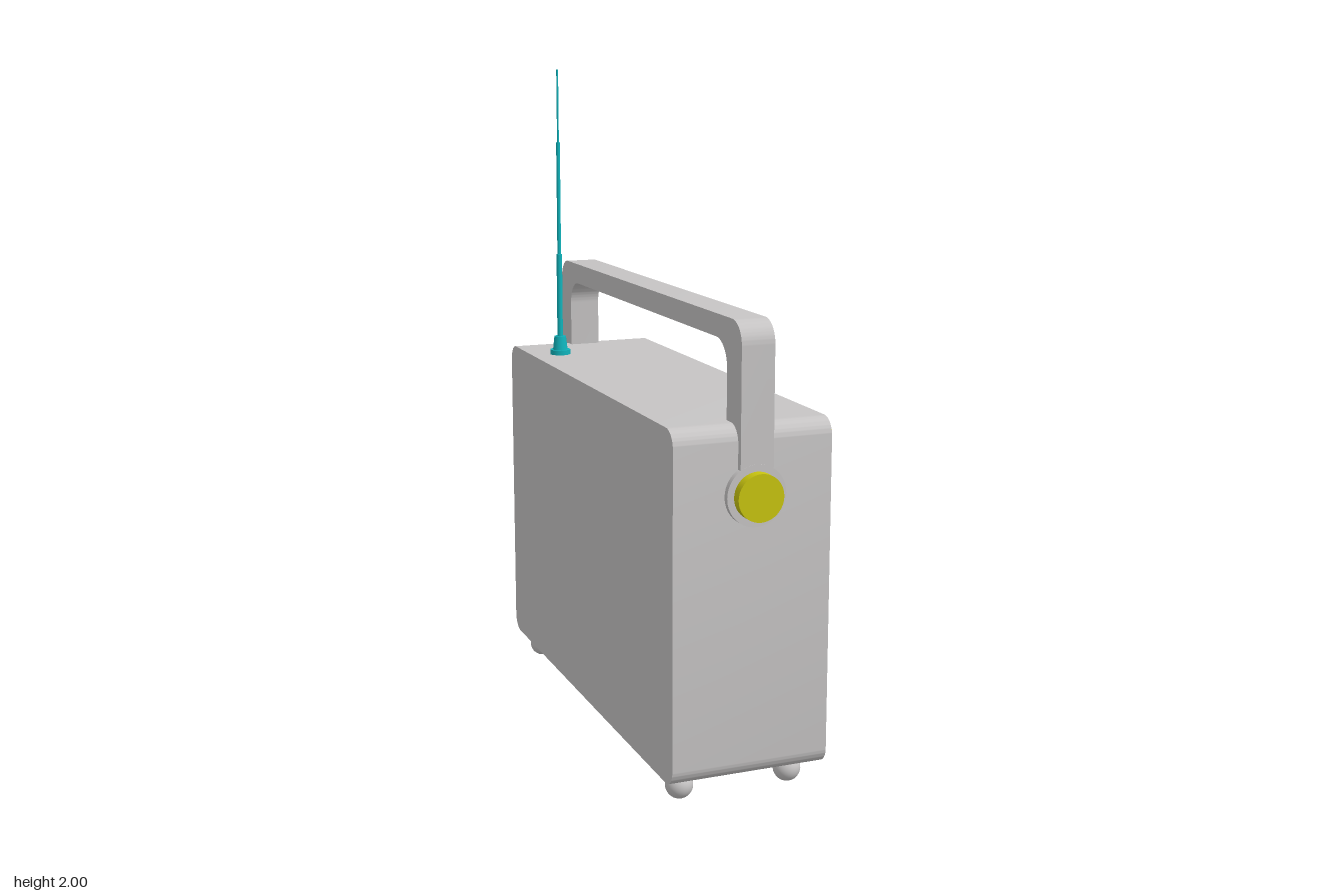
import * as THREE from 'three';
import { toCreasedNormals } from 'three/addons/utils/BufferGeometryUtils.js';

const mat = (name, color) => {
  const m = new THREE.MeshStandardMaterial({ color });
  m.name = name;
  return m;
};

// Rounded rectangle centred on (cx, cy), drawn on a Shape or Path
function roundRect(p, cx, cy, w, h, r) {
  const l = cx - w / 2, R = cx + w / 2, b = cy - h / 2, t = cy + h / 2;
  p.moveTo(l + r, b);
  p.lineTo(R - r, b);
  p.absarc(R - r, b + r, r, -Math.PI / 2, 0);
  p.lineTo(R, t - r);
  p.absarc(R - r, t - r, r, 0, Math.PI / 2);
  p.lineTo(l + r, t);
  p.absarc(l + r, t - r, r, Math.PI / 2, Math.PI);
  p.lineTo(l, b + r);
  p.absarc(l + r, b + r, r, Math.PI, Math.PI * 1.5);
  return p;
}

// Extrude a side profile (across, up) along x from x0 to x1
function extrudeX(shape, x0, x1, bevel = 0) {
  const g = new THREE.ExtrudeGeometry(shape, {
    depth: x1 - x0 - 2 * bevel, curveSegments: 12, bevelEnabled: bevel > 0,
    bevelThickness: bevel, bevelSize: bevel, bevelOffset: -bevel, bevelSegments: 2,
  });
  g.translate(0, 0, x0 + bevel);
  g.rotateY(Math.PI / 2);
  return toCreasedNormals(g, 0.6);
}

export function createModel() {
  const model = new THREE.Group();
  model.name = 'portableRadio';
  const grey = mat('casing grey', 0xc6c4c4);
  const yellow = mat('trim yellow', 0xc8c410);
  const green = mat('screen green', 0x10c810);
  const teal = mat('antenna teal', 0x10b4bc);

  const add = (name, geometry, material, x = 0, y = 0, z = 0) => {
    const m = new THREE.Mesh(geometry, material);
    m.name = name;
    m.position.set(x, y, z);
    model.add(m);
    return m;
  };

  // Casing
  const FACE = 0.215, MID = 0.578;
  add('casing', extrudeX(roundRect(new THREE.Shape(), 0, MID, 1.478, 1.005, 0.05), -0.252, FACE), grey);

  // Raised border around the front panel
  const frame = (cx, cy, w, h, t, r, ri) => {
    const s = roundRect(new THREE.Shape(), cx, cy, w, h, r);
    s.holes.push(roundRect(new THREE.Path(), cx, cy, w - 2 * t, h - 2 * t, ri));
    return s;
  };
  add('panelBorder', extrudeX(frame(0, MID, 1.41, 0.938, 0.027, 0.015, 0.006), FACE - 0.01, 0.234, 0.004), yellow);

  for (const side of [1, -1]) {
    const label = side > 0 ? 'left' : 'right';
    // Screens with their frames
    add(label + 'ScreenFrame',
      extrudeX(frame(side * -0.327, 0.729, 0.558, 0.425, 0.024, 0.008, 0.005), FACE - 0.01, 0.237, 0.004), yellow);
    add(label + 'Screen', new THREE.BoxGeometry(0.008, 0.39, 0.52), green, FACE + 0.003, 0.729, side * 0.327);

    // Dials: ring and knob
    const ring = new THREE.Shape().absarc(side * -0.418, 0.33, 0.125, 0, Math.PI * 2);
    ring.holes.push(new THREE.Path().absarc(side * -0.418, 0.33, 0.098, 0, Math.PI * 2));
    add(label + 'DialRing', extrudeX(ring, FACE - 0.01, 0.236, 0.004), yellow);
    add(label + 'DialKnob', new THREE.CylinderGeometry(0.064, 0.064, 0.05, 40).rotateZ(-Math.PI / 2),
      yellow, 0.225, 0.33, side * 0.418);

    // Handle pivots and their caps
    add(label + 'HandlePivot', new THREE.CylinderGeometry(0.087, 0.087, 0.06, 40).rotateX(Math.PI / 2),
      grey, -0.016, 0.888, side * 0.727);
    add(label + 'PivotCap', new THREE.CylinderGeometry(0.067, 0.067, 0.04, 40).rotateX(Math.PI / 2),
      yellow, -0.016, 0.888, side * 0.767);

    // Feet
    for (const x of [-0.19, 0.143]) {
      add(label + (x > 0 ? 'FrontFoot' : 'BackFoot'), new THREE.SphereGeometry(0.04, 24, 16),
        grey, x, 0.04, side * 0.635);
    }
  }

  // Carrying handle: one arch with rounded corners
  const h = new THREE.Shape();
  const W = 0.756, w = 0.66, top = 1.362, inner = 1.298, bottom = 0.888, R = 0.065, r = 0.075;
  h.moveTo(W, bottom);
  h.lineTo(W, top - R);
  h.absarc(W - R, top - R, R, 0, Math.PI / 2);
  h.lineTo(-W + R, top);
  h.absarc(-W + R, top - R, R, Math.PI / 2, Math.PI);
  h.lineTo(-W, bottom);
  h.lineTo(-w, bottom);
  h.lineTo(-w, inner - r);
  h.absarc(-w + r, inner - r, r, Math.PI, Math.PI / 2, true);
  h.lineTo(w - r, inner);
  h.absarc(w - r, inner - r, r, Math.PI / 2, 0, true);
  h.lineTo(w, bottom);
  add('handle', extrudeX(h, -0.064, 0.033), grey);

  // Telescopic antenna: [name, bottom, top, bottom radius, top radius]
  const sections = [
    ['antennaBase', 1.075, 1.096, 0.033, 0.033],
    ['antennaSocket', 1.096, 1.14, 0.024, 0.019],
    ['antennaLower', 1.14, 1.41, 0.009, 0.009],
    ['antennaMiddle', 1.41, 1.77, 0.006, 0.006],
    ['antennaUpper', 1.77, 2.0, 0.003, 0.003],
  ];
  for (const [name, y0, y1, rb, rt] of sections) {
    add(name, new THREE.CylinderGeometry(rt, rb, y1 - y0, 24), teal, -0.157, (y0 + y1) / 2, -0.497);
  }
  return model;
}
